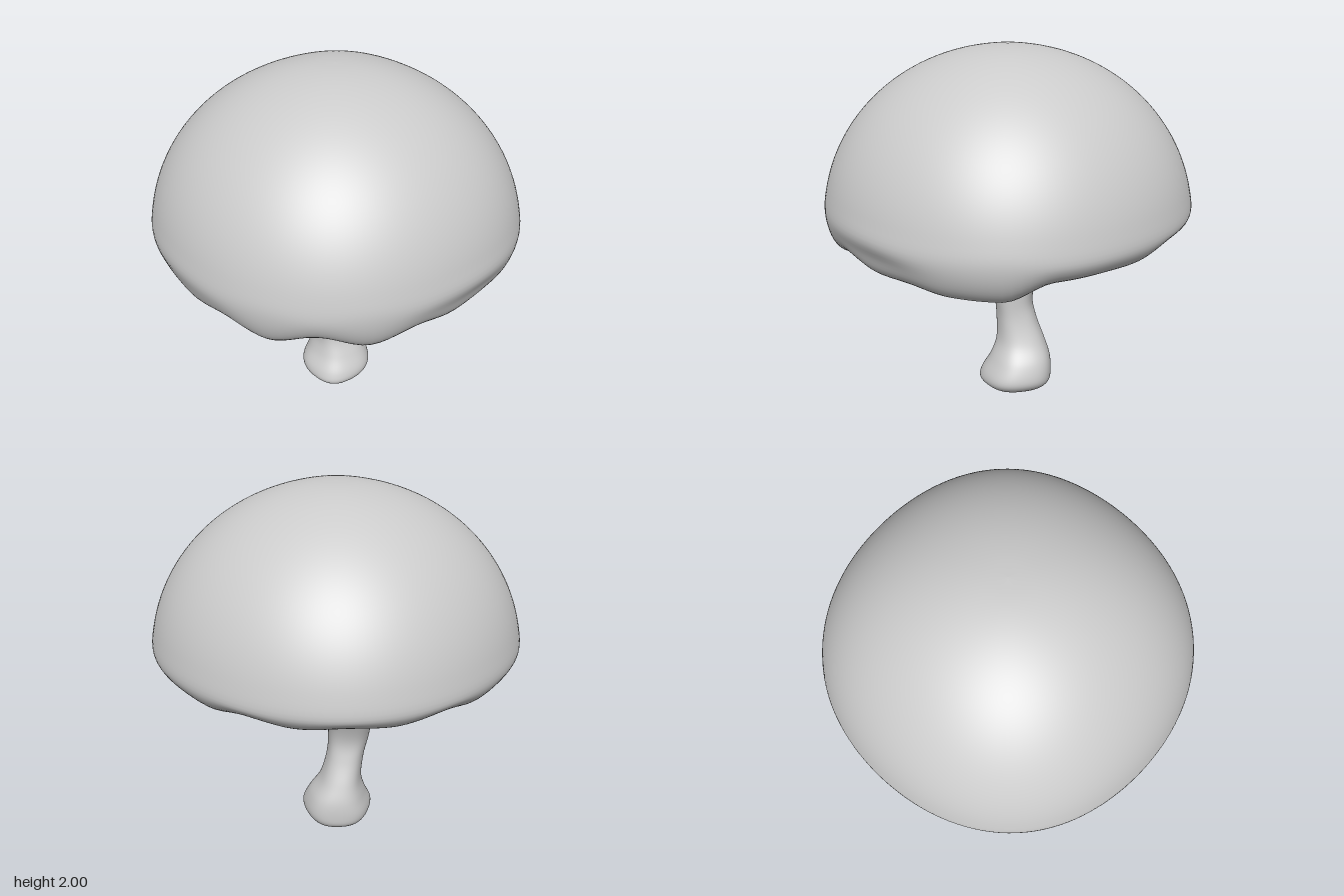
import * as THREE from 'three';

const V3 = (x, y, z) => new THREE.Vector3(x, y, z);
const lerp = THREE.MathUtils.lerp;

// Skin closed rings of points, listed from top to bottom
function loft(rings) {
  const n = rings[0].length, index = [];
  for (let i = 0; i < rings.length - 1; i++) {
    for (let j = 0; j < n; j++) {
      const k = (j + 1) % n;
      const a = i * n + j, b = a + n, c = (i + 1) * n + k, d = i * n + k;
      index.push(a, b, c, a, c, d);
    }
  }
  const geometry = new THREE.BufferGeometry().setFromPoints(rings.flat());
  geometry.setIndex(index);
  geometry.computeVertexNormals();
  return geometry;
}

// Height of the wavy lip every 15 degrees, from the front round to the back
const LIP = [1.025, 0.96, 1.01, 0.98, 0.99, 0.97, 0.965, 1.05, 1.05, 1.04, 1.08, 1.06, 1.08];

function lipHeight(a) {
  const t = Math.min(Math.abs(a) / (Math.PI / 12), 11.999);
  const i = Math.floor(t);
  return lerp(LIP[i], LIP[i + 1], THREE.MathUtils.smoothstep(t - i, 0, 1));
}

// Half section of the cap at one angle: dome, rolled lip, hollow underside
function capSection(a) {
  const lip = lipHeight(a);
  const back = (1 - Math.cos(a)) / 2;
  const R = 0.97 + 0.014 * Math.cos(4 * a);
  const fold = 0.03 * Math.exp(-(((a - 0.85) / 0.3) ** 2)) + 0.015 * Math.exp(-(((a + 0.85) / 0.3) ** 2));
  const lean = Math.cos(a + 0.9);
  const inner = 0.75 + 0.1 * lean + 0.015 * Math.sin(7 * a + 1);
  const wall = 0.74 + 0.04 * lean + 0.015 * Math.sin(9 * a);
  const pts = [];
  const add = (r, y) => pts.push(new THREE.Vector2(r, y));
  for (let i = 0; i <= 14; i++) {
    const p = (i / 14) * 1.46;
    add((R + 0.004) * Math.sin(p), 1.08 + 0.92 * Math.cos(p));
  }
  add(R - 0.01 - 0.012 * back - fold * 0.8, lerp(1.18, lip, 0.42));
  add(R - 0.04 - 0.03 * back - fold * 0.6, lerp(1.18, lip, 0.78));
  const low = R - 0.09 - 0.05 * back;
  add(low - fold * 0.3, lip + 0.003);
  add(lerp(low, inner, 0.6), lip + 0.006);
  add(inner, lip + 0.045);
  add(inner - 0.015, lip + 0.12);
  add(lerp(inner, wall, 0.5), lip + 0.2);
  add(wall, 1.32);
  add(0.65, 1.41);
  add(0.5, 1.45);
  add(0, 1.5);
  return new THREE.SplineCurve(pts).getPoints(96);
}

function capGeometry() {
  const n = 144, sections = [];
  for (let j = 0; j < n; j++) {
    const a = (j / n) * Math.PI * 2 - Math.PI;
    sections.push(capSection(a).map(p => V3(p.x * Math.sin(a), p.y, p.x * Math.cos(a))));
  }
  return loft(sections[0].map((_, i) => sections.map(s => s[i])));
}

// Stem sections, top to bottom: y, min x, max x, min z, max z
const STEM = [
  [1.47, -0.62, 0.62, -0.64, 0.58],
  [1.41, -0.48, 0.5, -0.52, 0.42],
  [1.32, -0.37, 0.39, -0.43, 0.3],
  [1.18, -0.27, 0.29, -0.33, 0.19],
  [1.05, -0.205, 0.22, -0.275, 0.12],
  [0.95, -0.2, 0.17, -0.26, 0.1],
  [0.85, -0.2, 0.125, -0.265, 0.085],
  [0.7, -0.2, 0.06, -0.19, 0.085],
  [0.55, -0.185, 0.05, -0.145, 0.075],
  [0.43, -0.155, 0.06, -0.165, 0.065],
  [0.3, -0.14, 0.1, -0.215, 0.065],
  [0.2, -0.165, 0.165, -0.25, 0.1],
  [0.11, -0.2, 0.2, -0.26, 0.15],
  [0.055, -0.185, 0.18, -0.25, 0.16],
  [0.02, -0.13, 0.13, -0.2, 0.11],
  [0.004, -0.05, 0.05, -0.1, 0.02],
  [0, 0, 0, -0.04, -0.04],
];

function stemGeometry() {
  const curve = f => new THREE.CatmullRomCurve3(STEM.map(f), false, 'catmullrom');
  const centre = curve(([y, x0, x1, z0, z1]) => V3((x0 + x1) / 2, y, (z0 + z1) / 2));
  const radius = curve(([y, x0, x1, z0, z1]) => V3((x1 - x0) / 2, 0, (z1 - z0) / 2));
  const rings = [], n = 64, rows = 96;
  for (let i = 0; i <= rows; i++) {
    const c = centre.getPoint(i / rows), r = radius.getPoint(i / rows), ring = [];
    for (let j = 0; j < n; j++) {
      const a = (j / n) * Math.PI * 2;
      // Soft lengthwise flutes that twist slowly
      const flute = 1 + 0.02 * Math.cos(5 * a + c.y * 1.5);
      ring.push(V3(c.x + r.x * flute * Math.sin(a), Math.max(c.y, 0), c.z + r.z * flute * Math.cos(a)));
    }
    rings.push(ring);
  }
  return loft(rings);
}

export function createModel() {
  const group = new THREE.Group();
  group.name = 'mushroom';
  const material = new THREE.MeshStandardMaterial({ color: 0xcccccc, roughness: 0.8 });
  const parts = { cap: capGeometry(), stem: stemGeometry() };
  for (const [name, geometry] of Object.entries(parts)) {
    const mesh = new THREE.Mesh(geometry, material);
    mesh.name = name;
    group.add(mesh);
  }
  return group;
}
